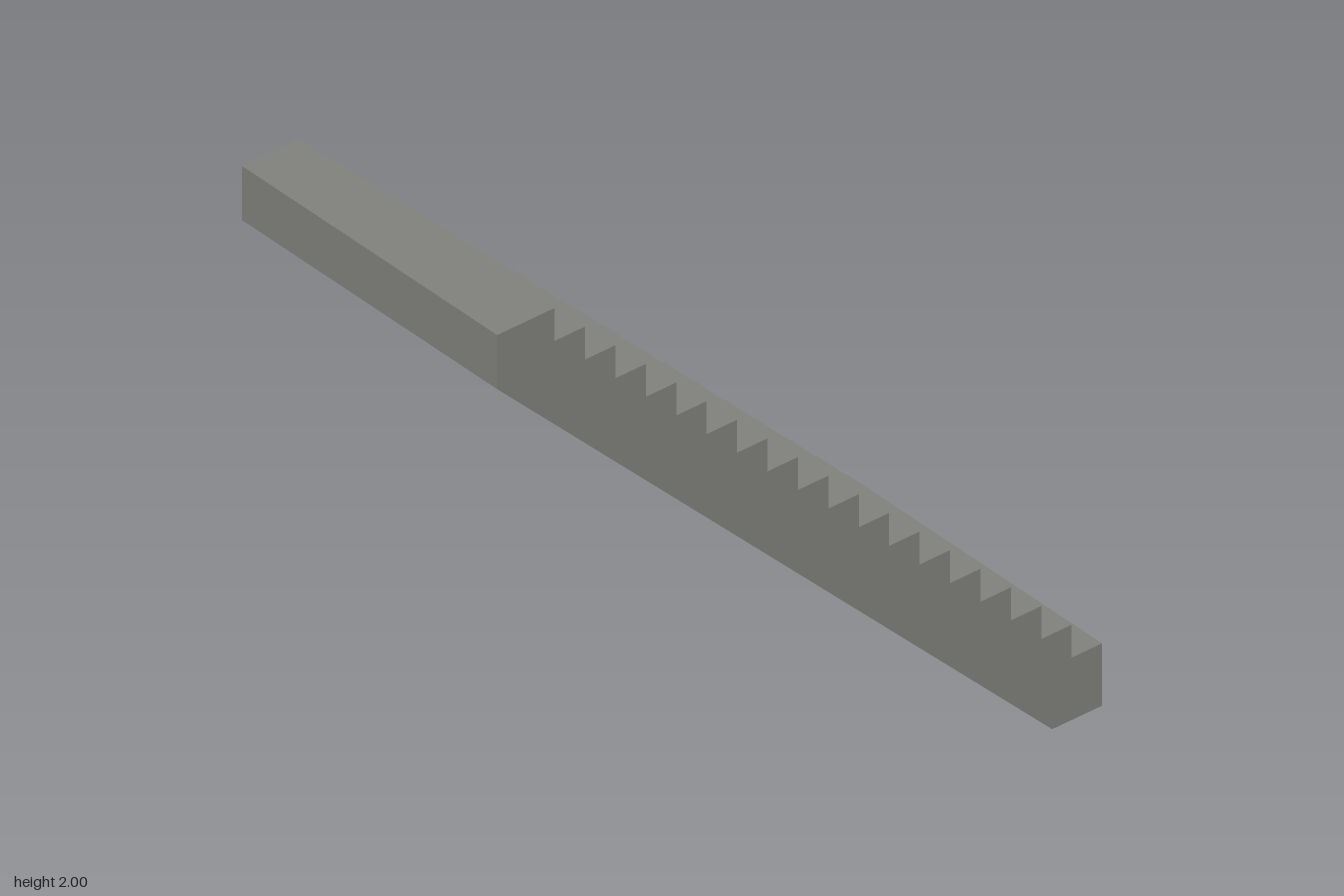
import * as THREE from 'three';

const STEPS = 19;
const WIDTH = 1;
const PITCH = 1.81 / (STEPS - 1); // rise and going of each step
const FIRST_RISE = 0.19;

export function createModel() {
  const group = new THREE.Group();
  group.name = 'staircase';
  const concrete = new THREE.MeshStandardMaterial({ color: 0x7f7f7b });
  concrete.name = 'concrete grey';

  // Side profile, drawn as (z, y): sloping soffit first, then steps
  const profile = new THREE.Shape();
  profile.moveTo(-1, 0);
  profile.lineTo(-0.835, 0);
  profile.lineTo(1, 1.835);
  profile.lineTo(1, 2);
  for (let i = STEPS - 1; i >= 0; i--) {
    const z = -1 + i * PITCH;
    const top = FIRST_RISE + i * PITCH;
    profile.lineTo(z, top);
    if (i > 0) profile.lineTo(z, top - PITCH);
  }
  profile.closePath();

  // Extrude across the width and turn the profile to run along z
  const geometry = new THREE.ExtrudeGeometry(profile, { depth: WIDTH, bevelEnabled: false });
  geometry.translate(0, 0, -WIDTH / 2);
  geometry.rotateY(-Math.PI / 2);

  const flight = new THREE.Mesh(geometry, concrete);
  flight.name = 'stairFlight';
  group.add(flight);
  return group;
}
